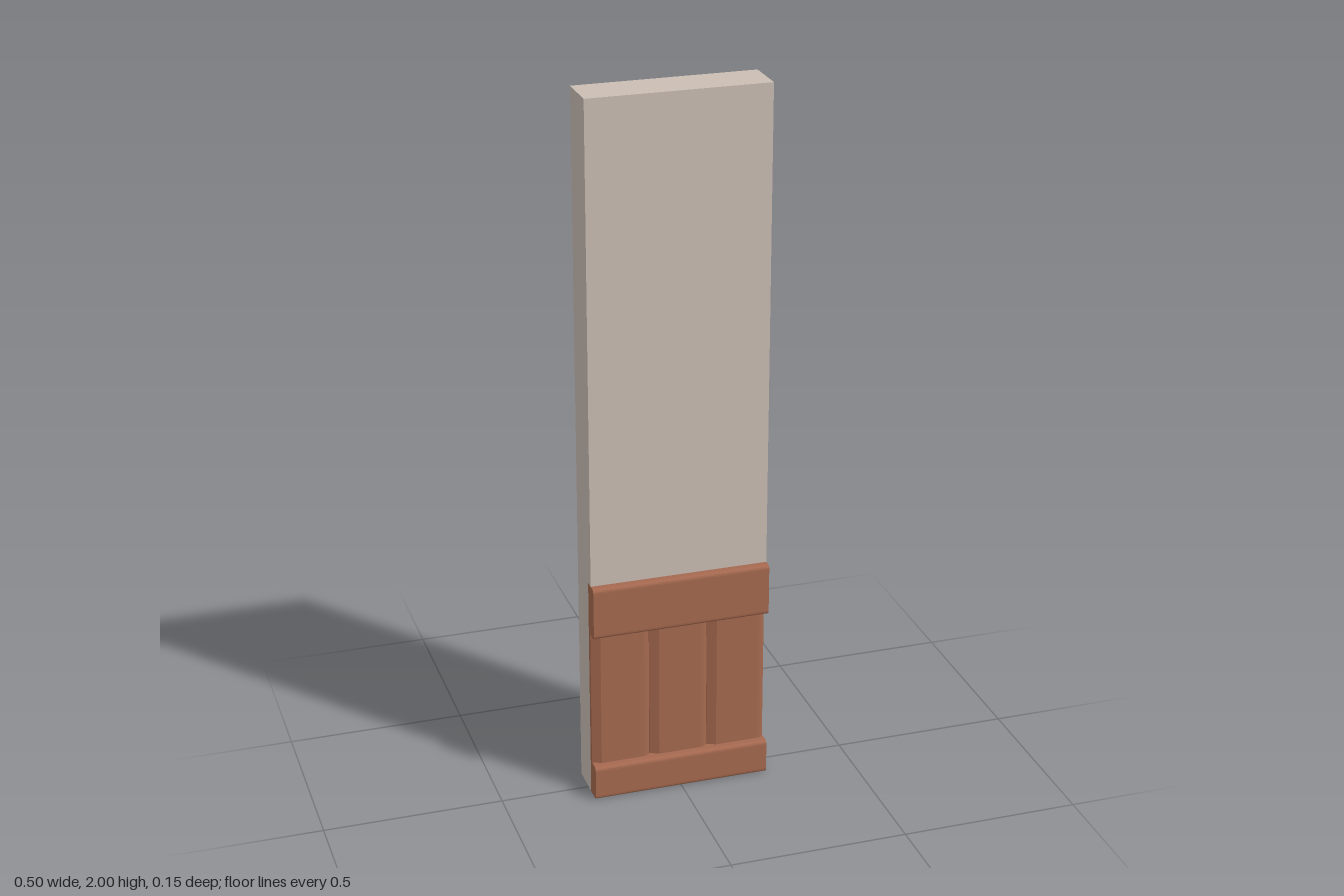
import * as THREE from 'three';

const W = 0.5, H = 2, BACK = -0.075, FRONT = 0.05, WOOD_BACK = 0.025, WOOD_TOP = 0.65;

export function createModel() {
  const group = new THREE.Group();
  const plaster = new THREE.MeshStandardMaterial({ color: 0xcabdb4, side: THREE.DoubleSide });
  plaster.name = 'plaster';
  const wood = new THREE.MeshStandardMaterial({ color: 0xa5694f });
  wood.name = 'wood';

  const add = (name, geometry, material) => {
    const mesh = new THREE.Mesh(geometry, material);
    mesh.name = name;
    group.add(mesh);
    return mesh;
  };

  // Wall shell, open at the back and stepped in behind the panelling
  const wallFront = add('wallFront', new THREE.PlaneGeometry(W, H - WOOD_TOP), plaster);
  wallFront.position.set(0, (H + WOOD_TOP) / 2, FRONT);

  const cap = (name, y, front, tilt) => {
    const mesh = add(name, new THREE.PlaneGeometry(W, front - BACK), plaster);
    mesh.rotation.x = tilt;
    mesh.position.set(0, y, (front + BACK) / 2);
  };
  cap('wallTop', H, FRONT, -Math.PI / 2);
  cap('wallBottom', 0, WOOD_BACK, Math.PI / 2);

  const sideShape = new THREE.Shape([
    [-BACK, 0], [-BACK, H], [-FRONT, H], [-FRONT, WOOD_TOP], [-WOOD_BACK, WOOD_TOP], [-WOOD_BACK, 0],
  ].map(([x, y]) => new THREE.Vector2(x, y)));
  for (const [name, x] of [['wallLeft', W / 2], ['wallRight', -W / 2]]) {
    const side = add(name, new THREE.ShapeGeometry(sideShape), plaster);
    side.rotation.y = Math.PI / 2;
    side.position.x = x;
  }

  // Horizontal rails with rounded front edges, extruded along x
  const rail = (name, y0, y1) => {
    const r = 0.012, f = -0.075, b = -WOOD_BACK;
    const s = new THREE.Shape();
    s.moveTo(b, y0);
    s.lineTo(b, y1);
    s.lineTo(f + r, y1);
    s.quadraticCurveTo(f, y1, f, y1 - r);
    s.lineTo(f, y0 + r);
    s.quadraticCurveTo(f, y0, f + r, y0);
    s.closePath();
    const g = new THREE.ExtrudeGeometry(s, { depth: W, bevelEnabled: false, curveSegments: 4 });
    g.translate(0, 0, -W / 2).rotateY(Math.PI / 2);
    add(name, g, wood);
  };
  rail('baseRail', 0, 0.1);
  rail('topRail', 0.5, WOOD_TOP);

  // Three upright boards, bevelled on one edge and rounded on the other
  const bw = W / 3;
  const s = new THREE.Shape();
  s.moveTo(0, -WOOD_BACK);
  s.lineTo(bw, -WOOD_BACK);
  s.lineTo(bw, -0.036);
  s.quadraticCurveTo(bw - 0.004, -FRONT, bw - 0.025, -FRONT);
  s.lineTo(0.025, -FRONT);
  s.lineTo(0, -0.038);
  s.closePath();
  const board = new THREE.ExtrudeGeometry(s, { depth: 0.4, bevelEnabled: false, curveSegments: 5 });
  board.rotateX(-Math.PI / 2);
  for (let i = 0; i < 3; i++) {
    add('board' + (i + 1), board, wood).position.set(-W / 2 + i * bw, 0.1, 0);
  }
  return group;
}
